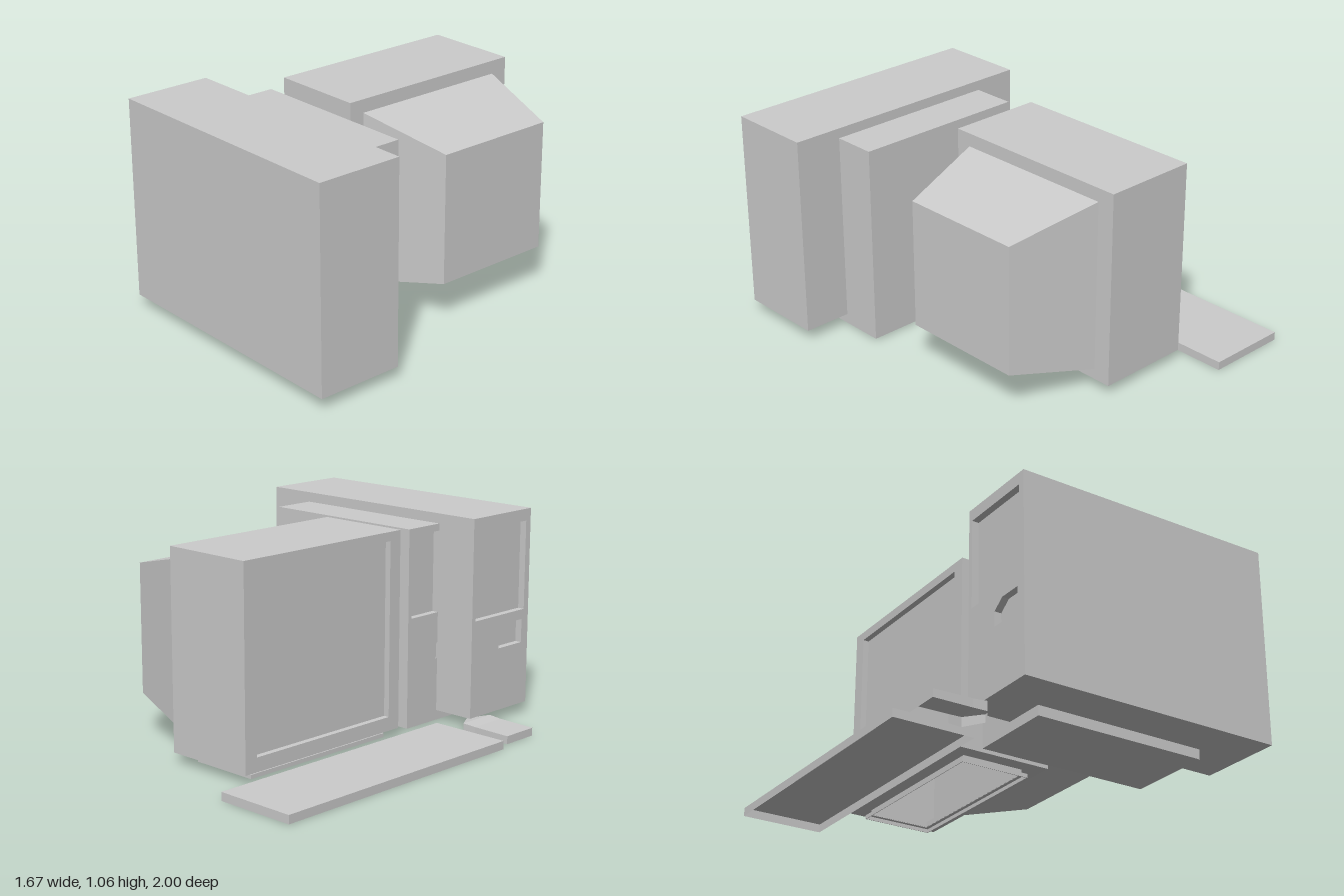
import * as THREE from 'three';

const material = new THREE.MeshStandardMaterial({
  color: 0xcccccc, flatShading: true, side: THREE.DoubleSide,
});
const V = (x, y, z) => new THREE.Vector3(x, y, z);

function part(parent, name, geometry) {
  const mesh = new THREE.Mesh(geometry, material);
  mesh.name = name;
  parent.add(mesh);
  return mesh;
}

function group(parent, name) {
  const g = new THREE.Group();
  g.name = name;
  parent.add(g);
  return g;
}

// Box given by its limits; openBottom leaves the underside off
function box(x0, x1, y0, y1, z0, z1, openBottom = false) {
  const g = new THREE.BoxGeometry(x1 - x0, y1 - y0, z1 - z0);
  if (openBottom) {
    const index = Array.from(g.index.array);
    index.splice(18, 6);
    g.setIndex(index);
    g.clearGroups();
  }
  return g.translate((x0 + x1) / 2, (y0 + y1) / 2, (z0 + z1) / 2);
}

const rect = (a0, a1, b0, b1) => [[a0, b0], [a1, b0], [a1, b1], [a0, b1]];

function plate(outline, holes, depth) {
  const toPoints = (pts) => pts.map(([a, b]) => new THREE.Vector2(a, b));
  const shape = new THREE.Shape(toPoints(outline));
  holes.forEach((h) => shape.holes.push(new THREE.Path(toPoints(h))));
  return new THREE.ExtrudeGeometry(shape, { depth, bevelEnabled: false });
}

// Upright plate facing -x, outline in (z, y)
function facePlate(x0, x1, outline, holes) {
  return plate(outline, holes, x1 - x0)
    .applyMatrix4(new THREE.Matrix4().makeBasis(V(0, 0, 1), V(0, 1, 0), V(-1, 0, 0)))
    .translate(x1, 0, 0);
}

// Flat plate, outline in (x, z)
function flatPlate(y0, y1, outline, holes) {
  return plate(outline, holes, y1 - y0)
    .applyMatrix4(new THREE.Matrix4().makeBasis(V(1, 0, 0), V(0, 0, 1), V(0, -1, 0)))
    .translate(0, y1, 0);
}

// Rectangular rim of a given width
function rim(x0, x1, y0, y1, z0, z1, w) {
  return flatPlate(y0, y1, rect(x0, x1, z0, z1), [rect(x0 + w, x1 - w, z0 + w, z1 - w)]);
}

// Computer case facing -x, with a drive bay and a small notched recess
function addCase(parent, name, x0, x1, y0, z0, bayBottom, bayTop) {
  const g = group(parent, name);
  const y1 = y0 + 1, z1 = z0 + 0.44, d = 0.035;
  part(g, 'caseBody', box(x0 + d, x1, y0, y1, z0, z1));
  const bay = rect(z0 + 0.025, z1 - 0.035, y0 + bayBottom, y0 + bayTop);
  const recess = [[0.21, 0.32], [0.39, 0.32], [0.39, 0.44], [0.27, 0.44], [0.21, 0.395]]
    .map(([z, y]) => [z0 + z, y0 + y]);
  part(g, 'caseFront', facePlate(x0, x0 + d, rect(z0, z1, y0, y1), [bay, recess]));
}

function addMonitor(parent) {
  const g = group(parent, 'monitor');
  const x0 = -0.355, x1 = 0.13, y0 = 0.05, y1 = 1.03, z0 = -0.795, z1 = 0.225, d = 0.03;
  part(g, 'housing', box(x0 + d, x1, y0, y1, z0, z1, true));
  part(g, 'screenFrame', facePlate(x0, x0 + d, rect(z0, z1, y0, y1),
    [rect(-0.725, 0.155, 0.12, 0.985)]));
  part(g, 'housingFloor', flatPlate(y0, y0 + 0.002, rect(x0 + d, x1, z0, z1),
    [rect(-0.287, 0.027, -0.697, 0.147)]));

  // Tapered tube cover at the back
  const cover = new THREE.BoxGeometry(0.45, 0.86, 0.85);
  const p = cover.attributes.position;
  for (let i = 0; i < p.count; i++) {
    if (p.getX(i) > 0) p.setXYZ(i, p.getX(i), p.getY(i) * 0.755, p.getZ(i) * 0.755);
  }
  cover.computeVertexNormals();
  part(g, 'tubeCover', cover.translate(0.355, 0.533, -0.28));

  // Hollow two-step foot
  const foot = group(g, 'foot');
  part(foot, 'footLower', rim(-0.31, 0.05, 0.006, 0.026, -0.72, 0.17, 0.003));
  part(foot, 'footStep', rim(-0.31, 0.05, 0.024, 0.026, -0.72, 0.17, 0.022));
  part(foot, 'footUpper', rim(-0.29, 0.03, 0.026, 0.05, -0.70, 0.15, 0.003));
}

// Hollow mouse shell: side walls and a top that rises towards the buttons
function addMouse(parent) {
  const outline = [[-0.8, 0.515, 0.04], [-0.6, 0.515, 0.043], [-0.53, 0.51, 0.048],
    [-0.47, 0.607, 0.04], [-0.47, 0.623, 0.04], [-0.53, 0.715, 0.048],
    [-0.6, 0.712, 0.043], [-0.8, 0.71, 0.04]];
  const n = outline.length, pos = [], index = [];
  outline.forEach(([x, z, y]) => pos.push(x, 0, z, x, y, z));
  for (let i = 0; i < n; i++) {
    const a = 2 * i, b = 2 * ((i + 1) % n);
    index.push(a, a + 1, b, b, a + 1, b + 1);
  }
  // Top: one strip between each mirrored pair of outline points
  for (let i = 0; i < 3; i++) {
    const a = 2 * i + 1, b = a + 2, c = 2 * (n - 1 - i) + 1, e = c - 2;
    index.push(a, c, b, b, c, e);
  }
  const geo = new THREE.BufferGeometry();
  geo.setAttribute('position', new THREE.Float32BufferAttribute(pos, 3));
  geo.setIndex(index);
  geo.computeVertexNormals();
  part(parent, 'mouse', geo);
}

export function createModel() {
  const model = new THREE.Group();
  model.name = 'desktopComputer';
  addCase(model, 'largeCase', -0.53, 0.83, 0.06, 0.56, 0.49, 0.94);
  addCase(model, 'smallCase', -0.31, 0.585, 0.01, 0.34, 0.555, 0.965);
  addMonitor(model);
  part(model, 'keyboard', box(-0.837, -0.418, 0, 0.042, -1, 0.44, true));
  addMouse(model);
  return model;
}
